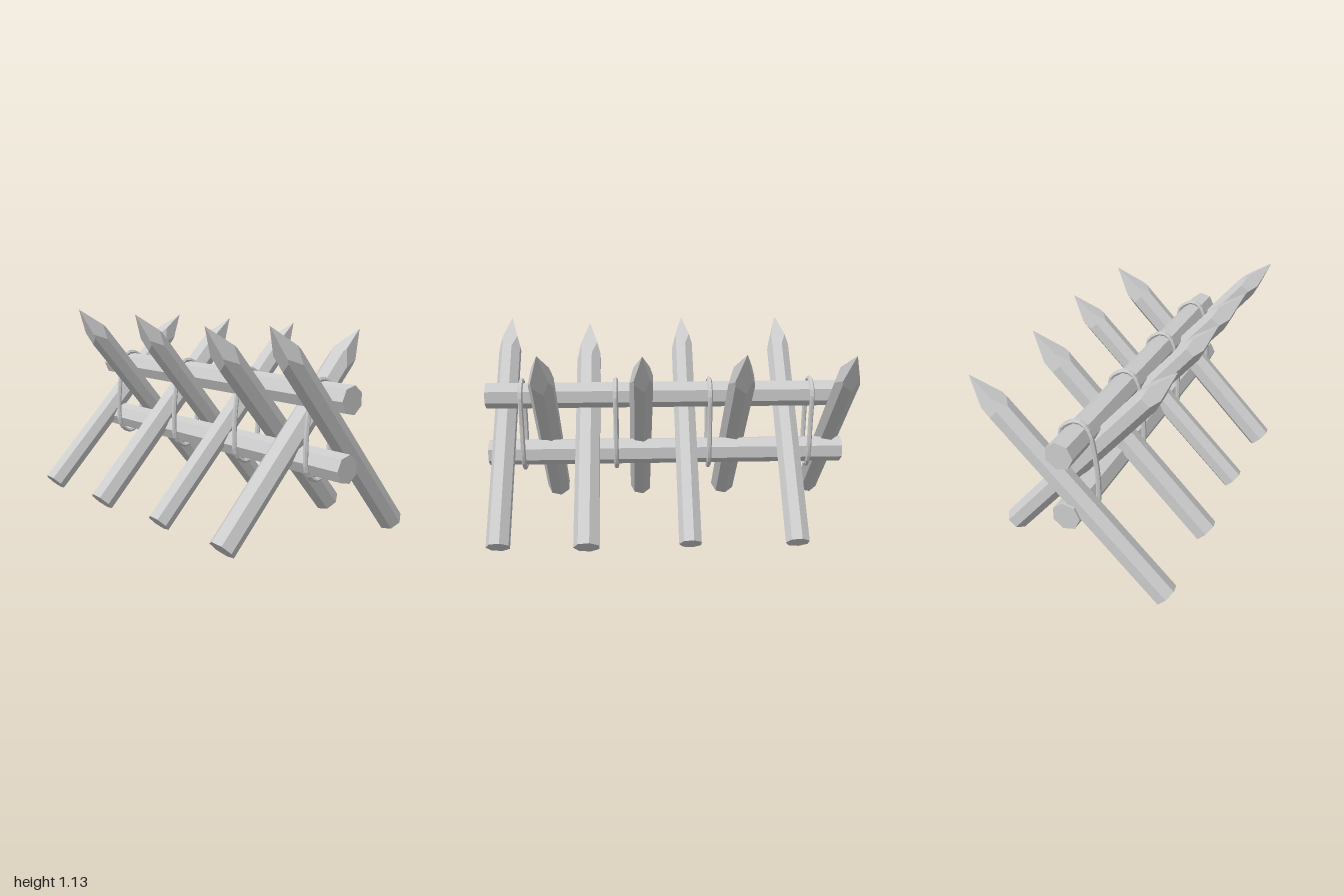
import * as THREE from 'three';
import { ConvexGeometry } from 'three/addons/geometries/ConvexGeometry.js';

const SIDES = 7;
const STEP = (Math.PI * 2) / SIDES;

// Seven-sided pole along y with a point whittled by four flat cuts
function stakeGeometry(radius, length) {
  const slope = 0.275; // cut depth per unit of tip length
  const points = [new THREE.Vector3(0, length, 0)];
  const edge = (a) => {
    const local = (((a % STEP) + STEP) % STEP) - STEP / 2;
    return (radius * Math.cos(STEP / 2)) / Math.cos(local);
  };
  const shoulder = (a) => {
    const r = edge(a), x = r * Math.cos(a), z = r * Math.sin(a);
    const drop = Math.max(Math.abs(x), Math.abs(z)) / slope;
    points.push(new THREE.Vector3(x, length - drop, z));
  };
  for (let i = 0; i < SIDES; i++) {
    const a = i * STEP;
    points.push(new THREE.Vector3(radius * Math.cos(a), 0, radius * Math.sin(a)));
    shoulder(a);
  }
  for (let i = 0; i < 4; i++) shoulder(Math.PI / 4 + (i * Math.PI) / 2);
  return new ConvexGeometry(points);
}

export function createModel() {
  const group = new THREE.Group();
  const wood = new THREE.MeshStandardMaterial({ color: 0xcccccc, flatShading: true });
  wood.name = 'pale grey';

  const add = (name, geometry) => {
    const mesh = new THREE.Mesh(geometry, wood);
    mesh.name = name;
    group.add(mesh);
    return mesh;
  };

  // Two horizontal rails
  for (const [name, y, z] of [['upperRail', 0.764, -0.021], ['lowerRail', 0.43, 0]]) {
    add(name, new THREE.CylinderGeometry(0.074, 0.074, 2, SIDES).rotateZ(Math.PI / 2))
      .position.set(0, y, z);
  }

  // Crossed stakes: x, radius, base z, tip y, tip z
  const stakes = [
    ['backLeaningStake', -0.928, 0.066, 0.49, 1.055, -0.515],
    ['backLeaningStake', -0.383, 0.071, 0.502, 1.06, -0.485],
    ['backLeaningStake', 0.142, 0.064, 0.49, 1.06, -0.515],
    ['backLeaningStake', 0.663, 0.071, 0.506, 1.06, -0.475],
    ['frontLeaningStake', -0.676, 0.064, -0.488, 1.135, 0.435],
    ['frontLeaningStake', -0.108, 0.062, -0.482, 1.135, 0.44],
    ['frontLeaningStake', 0.438, 0.071, -0.505, 1.105, 0.42],
    ['frontLeaningStake', 0.901, 0.065, -0.484, 1.135, 0.44],
  ];
  for (const [name, x, radius, baseZ, tipY, tipZ] of stakes) {
    const base = new THREE.Vector3(x, 0.054, baseZ);
    const axis = new THREE.Vector3(x, tipY, tipZ).sub(base);
    const length = axis.length();
    axis.normalize();
    const across = new THREE.Vector3(1, 0, 0);
    const depth = new THREE.Vector3().crossVectors(across, axis);
    const stake = add(name, stakeGeometry(radius, length));
    stake.quaternion.setFromRotationMatrix(new THREE.Matrix4().makeBasis(across, axis, depth));
    stake.position.copy(base);
  }

  // Rope loops binding the two rails, outlined as z, y
  const outline = [
    [0.02, 0.83], [-0.02, 0.847], [-0.076, 0.823], [-0.11, 0.785], [-0.111, 0.74],
    [-0.097, 0.605], [-0.089, 0.46], [-0.075, 0.4], [-0.048, 0.358], [0, 0.338],
    [0.045, 0.358], [0.074, 0.4], [0.081, 0.49], [0.075, 0.61], [0.054, 0.755], [0.044, 0.79],
  ];
  const path = new THREE.CatmullRomCurve3(
    outline.map(([z, y]) => new THREE.Vector3(0, y, z)), true);
  for (const x of [-0.803, -0.238, 0.284, 0.802]) {
    add('ropeLoop', new THREE.TubeGeometry(path, 40, 0.0135, 6, true)).position.x = x;
  }

  return group;
}
